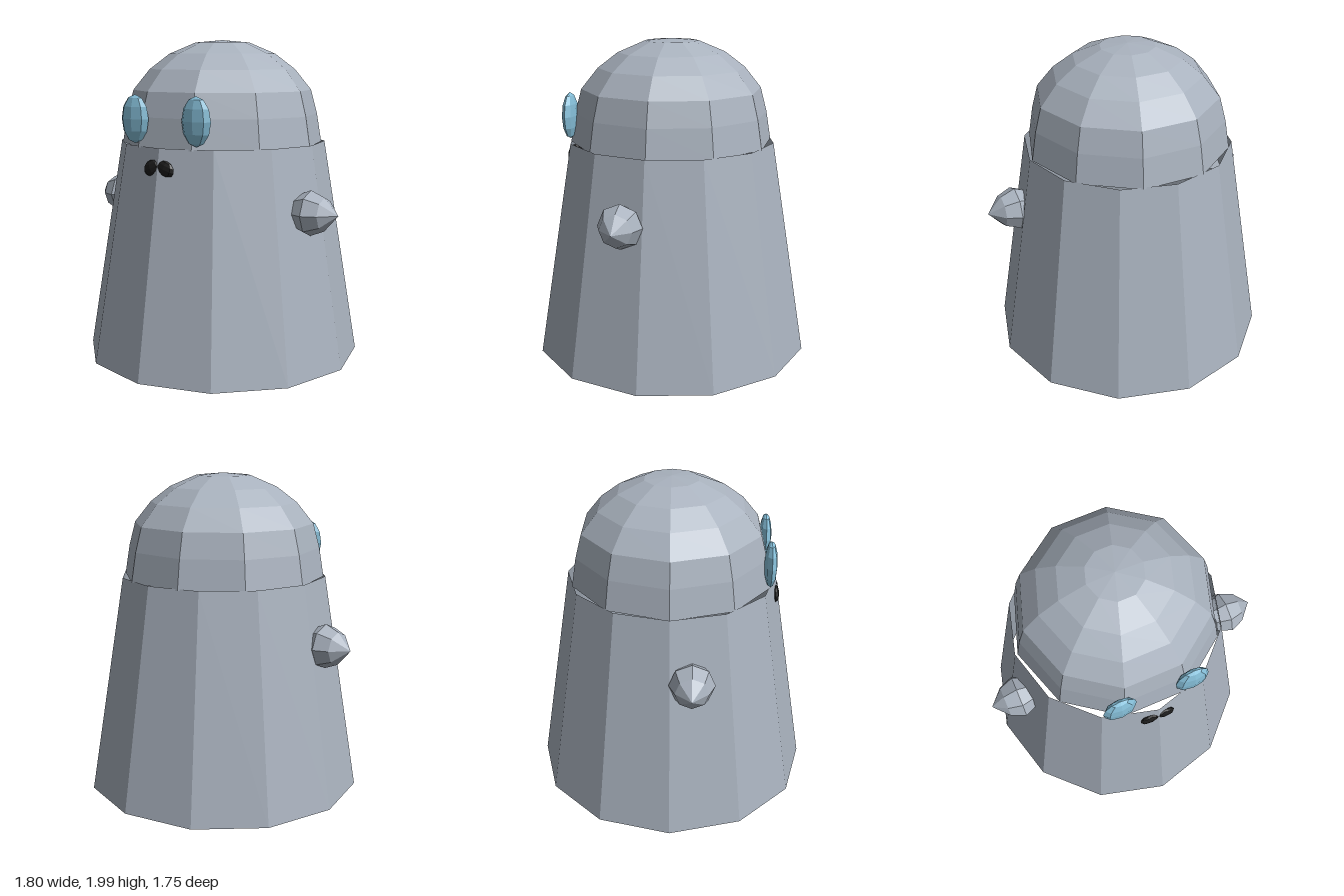
import * as THREE from 'three';

const flat = (color, name, side = THREE.FrontSide) => {
  const m = new THREE.MeshStandardMaterial({ color, flatShading: true, side });
  m.name = name;
  return m;
};

// Faceted solid of revolution from [radius, height] pairs, bottom to top
const lathe = (profile, sides, start = 0) =>
  new THREE.LatheGeometry(profile.map(([r, y]) => new THREE.Vector2(r, y)), sides, start);

export function createModel() {
  const model = new THREE.Group();
  const grey = flat(0xa9b2be, 'grey cloth', THREE.DoubleSide);
  const blue = flat(0x86bfd9, 'eye blue');
  const black = flat(0x1c1c1c, 'mouth black');

  const add = (name, geometry, material, x = 0, y = 0, z = 0) => {
    const mesh = new THREE.Mesh(geometry, material);
    mesh.name = name;
    mesh.position.set(x, y, z);
    model.add(mesh);
    return mesh;
  };

  // Hollow twelve-sided skirt, open at both ends
  add('body', lathe([[0.875, 0.01], [0.65, 1.37]], 12), grey);

  // Ten-sided dome with an edge pointing to each side
  const dome = [[0.635, 1.36], [0.605, 1.54], [0.565, 1.69], [0.46, 1.82], [0.335, 1.915], [0.17, 1.985], [0, 2]];
  add('head', lathe(dome, 10, Math.PI / 10), grey);

  // Pointed hands, turned so their axis runs sideways
  const handShape = lathe([[0, -0.14], [0.1, -0.1], [0.137, -0.01], [0.1, 0.08], [0, 0.17]], 8);
  // Flattened oval eyes and the two lobes of the mouth
  const eyeShape = new THREE.SphereGeometry(1, 8, 6).scale(0.104, 0.145, 0.04);
  const lobeShape = new THREE.SphereGeometry(1, 8, 6).scale(0.064, 0.048, 0.024);

  for (const side of [-1, 1]) {
    const prefix = side > 0 ? 'left' : 'right';
    add(prefix + 'Hand', handShape, grey, side * 0.73, 0.985, 0.13).rotation.z = -side * Math.PI / 2;
    add(prefix + 'Eye', eyeShape, blue, side * 0.225, 1.53, 0.595);
    add(prefix + 'MouthLobe', lobeShape, black, side * 0.048 - 0.004, 1.252, 0.652).rotation.z = -side * 0.35;
  }
  return model;
}
